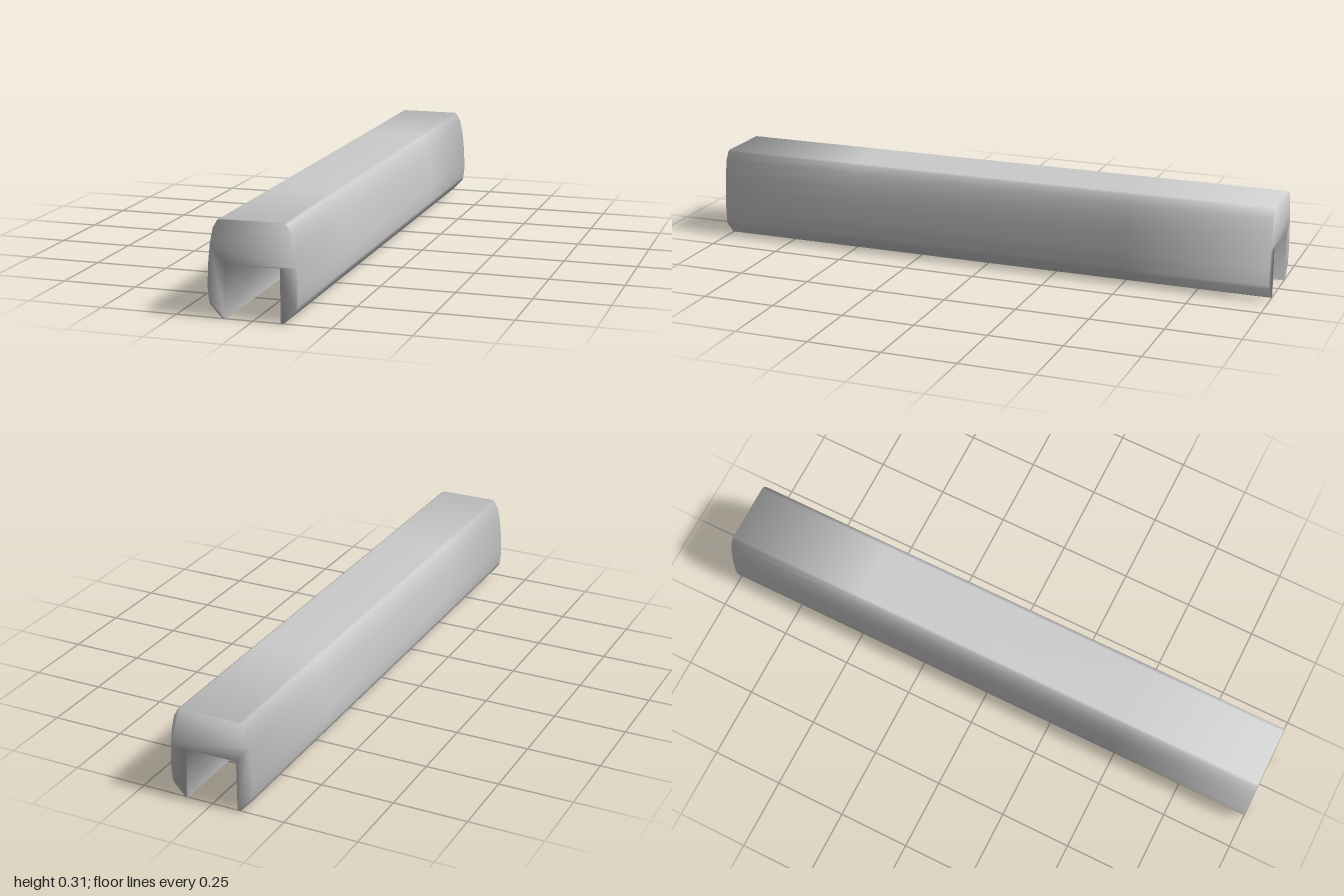
import * as THREE from 'three';
import { mergeVertices } from 'three/addons/utils/BufferGeometryUtils.js';

// Right half of the cross-section, from the slot's inner top corner round to the top edge
const HALF = [
  [0.088, 0.171], [0.088, 0], [0.097, 0], [0.103, 0.004], [0.139, 0.043], [0.142, 0.057],
  [0.145, 0.085], [0.145, 0.115], [0.142, 0.175], [0.136, 0.23], [0.126, 0.28],
  [0.111, 0.306], [0.103, 0.311],
];

export function createModel() {
  const group = new THREE.Group();
  group.name = 'channelCover';

  // Mirror the half profile into a closed inverted U
  const mirrored = HALF.map(([x, y]) => [-x, y]).reverse();
  const shape = new THREE.Shape([...HALF, ...mirrored].map(([x, y]) => new THREE.Vector2(x, y)));

  // Sweep it along z and weld the corners
  let geometry = new THREE.ExtrudeGeometry(shape, { depth: 2, steps: 4, bevelEnabled: false });
  geometry.translate(0, 0, -1);
  geometry.deleteAttribute('normal');
  geometry.deleteAttribute('uv');
  geometry = mergeVertices(geometry, 1e-4);
  geometry.computeVertexNormals();

  // Soft shading over the flat ends: tilt the end normals halfway outwards
  const { position, normal } = geometry.attributes;
  const n = new THREE.Vector3();
  for (let i = 0; i < position.count; i++) {
    const z = position.getZ(i);
    if (Math.abs(z) < 0.99) continue;
    n.set(normal.getX(i), normal.getY(i), 0).normalize();
    n.z = Math.sign(z);
    n.normalize();
    normal.setXYZ(i, n.x, n.y, n.z);
  }

  const cover = new THREE.Mesh(geometry, new THREE.MeshStandardMaterial({ color: 0xcccccc }));
  cover.name = 'channelBody';
  group.add(cover);
  return group;
}
